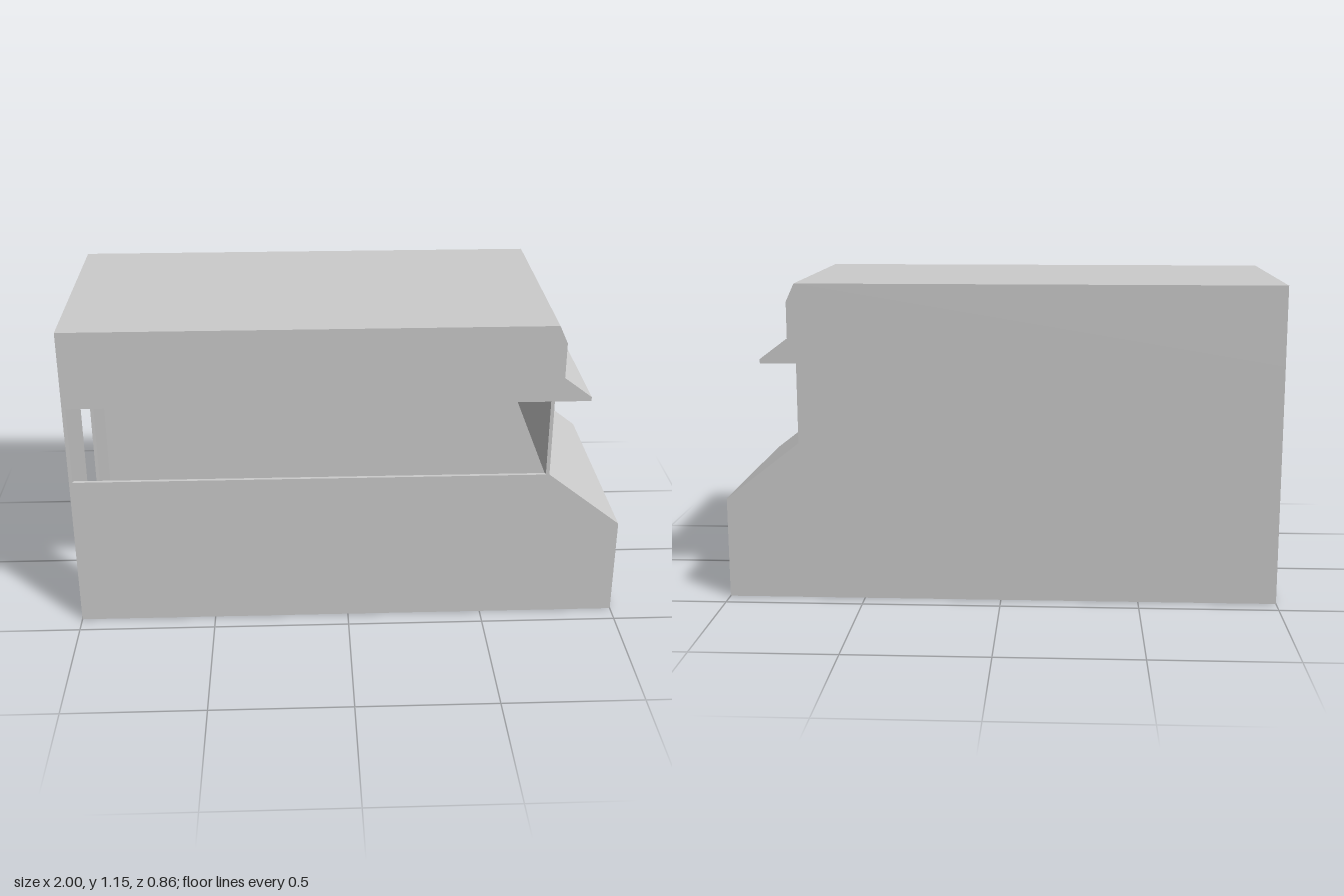
import * as THREE from 'three';

const W = 0.43;      // half width
const T = 0.013;     // wall thickness
const SILL = 0.58, HEAD = 0.87, TOP = 1.155;
const NOSE = 0.73;   // windscreen plane

export function createModel() {
  const group = new THREE.Group();
  const material = new THREE.MeshStandardMaterial({ color: 0xcccccc, flatShading: true });

  const add = (name, geometry) => {
    const mesh = new THREE.Mesh(geometry, material);
    mesh.name = name;
    group.add(mesh);
  };
  const shape = (points) => new THREE.Shape(points.map(([x, y]) => new THREE.Vector2(x, y)));
  // Side profile (x, y) swept from z0 to z1
  const sweep = (name, points, z0, z1) => {
    const geometry = new THREE.ExtrudeGeometry(shape(points), { depth: z1 - z0, bevelEnabled: false });
    add(name, geometry.translate(0, 0, z0));
  };

  // Roof block with chamfered brow and sloped visor
  sweep('roof', [
    [-1, HEAD], [0.86, HEAD], [0.86, 0.885], [0.76, 0.96],
    [0.76, 1.09], [NOSE, TOP], [-1, TOP],
  ], -W, W);

  // Floor, nose, sloped hood and windscreen as one bent plate
  sweep('floorAndNose', [
    [-1, 0], [1, 0], [1, 0.37], [NOSE, SILL], [NOSE, HEAD],
    [NOSE - T, HEAD], [NOSE - T, SILL - 0.006], [1 - T, 0.364], [1 - T, T], [-1, T],
  ], -W + T, W - T);

  // Closed wall on one side, low wall with a long open window on the other
  const lower = [[-1, 0], [1, 0], [1, 0.37], [NOSE, SILL]];
  sweep('closedSideWall', [...lower, [NOSE, HEAD], [-1, HEAD]], -W, -W + T);
  sweep('windowSideWall', [...lower, [-1, SILL]], W - T, W);

  // Thin posts at both ends of the window
  for (const x of [-1, NOSE - T]) {
    const post = new THREE.BoxGeometry(T, HEAD - SILL, T);
    add('windowPost', post.translate(x + T / 2, (HEAD + SILL) / 2, W - T / 2));
  }

  // Rear wall, in (z, y), with a full-height doorway
  const inner = W - T;
  for (const [z0, z1] of [[-inner, -0.15], [0.13, inner]]) {
    const panel = new THREE.BoxGeometry(T, HEAD - T, z1 - z0);
    add('rearWall', panel.translate(-1 + T / 2, (HEAD + T) / 2, (z0 + z1) / 2));
  }

  return group;
}
